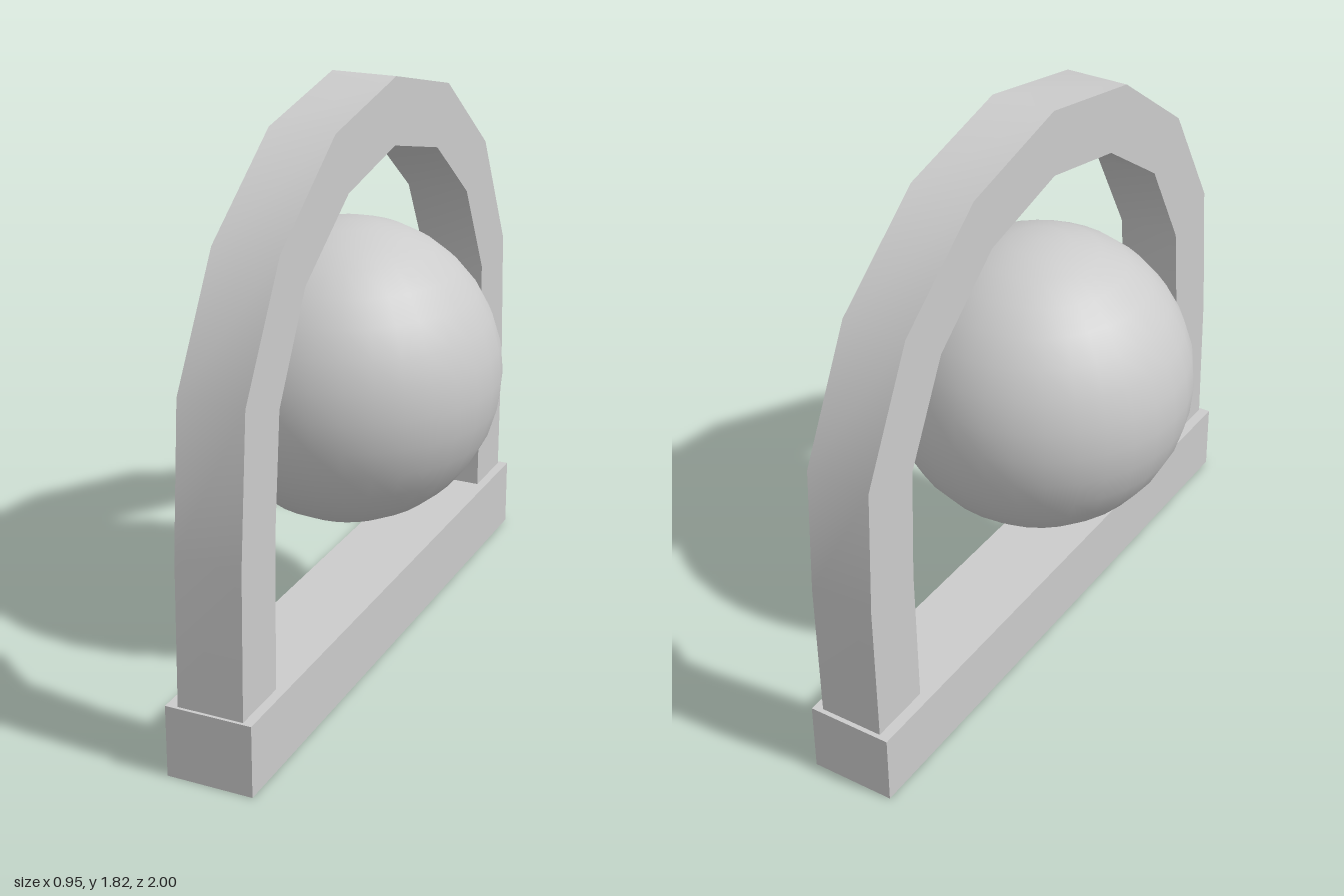
import * as THREE from 'three';
import { toCreasedNormals } from 'three/addons/utils/BufferGeometryUtils.js';

export function createModel() {
  const group = new THREE.Group();
  const material = new THREE.MeshStandardMaterial({ color: 0xcccccc });
  const add = (name, geometry, x, y, z) => {
    const mesh = new THREE.Mesh(geometry, material);
    mesh.name = name;
    mesh.position.set(x, y, z);
    group.add(mesh);
  };

  // Long base beam running front to back
  add('base', new THREE.BoxGeometry(0.27, 0.225, 2), 0.035, 0.1125, 0);

  // Arch outline as [z, y], from the front foot over the top to the back foot
  const outer = [
    [0.99, 0.225], [0.98, 0.68], [0.94, 1.13], [0.73, 1.49], [0.385, 1.74], [-0.03, 1.82],
    [-0.44, 1.72], [-0.775, 1.46], [-0.97, 1.08], [-0.99, 0.68], [-0.985, 0.225],
  ];
  const inner = [
    [0.79, 0.225], [0.78, 0.7], [0.745, 1.06], [0.58, 1.36], [0.3, 1.55], [-0.025, 1.615],
    [-0.355, 1.535], [-0.615, 1.33], [-0.77, 1.03], [-0.787, 0.68], [-0.78, 0.225],
  ];
  const outline = [...outer, ...inner.reverse()].map(([z, y]) => new THREE.Vector2(-z, y));
  const arch = new THREE.ExtrudeGeometry(new THREE.Shape(outline), { depth: 0.205, bevelEnabled: false });
  arch.rotateY(Math.PI / 2);
  add('arch', toCreasedNormals(arch, Math.PI / 5), -0.065, 0, 0);

  // Ball hanging free inside the arch
  add('ball', new THREE.SphereGeometry(0.475, 32, 16), 0, 0.905, 0);

  return group;
}
